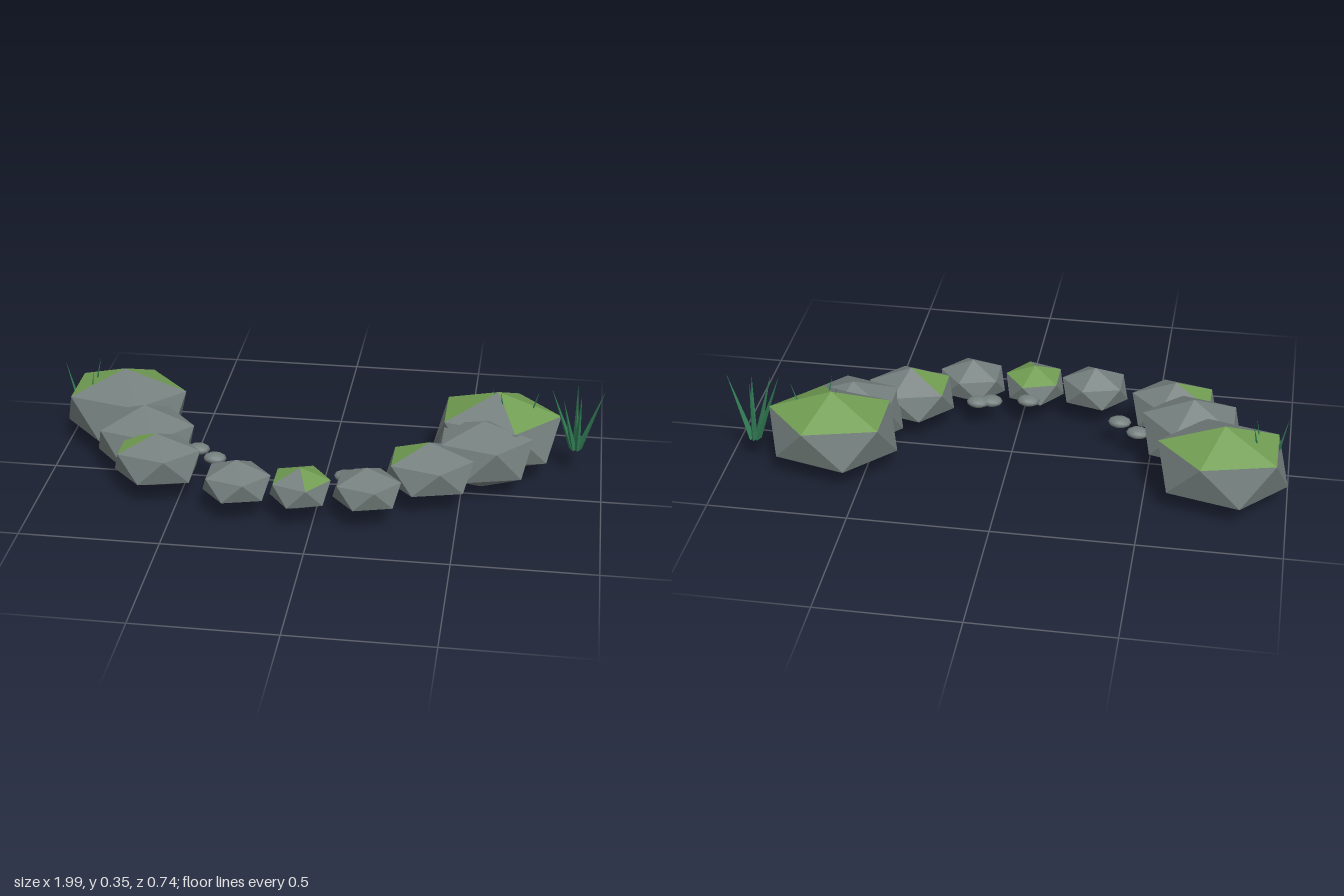
import * as THREE from 'three';

const mat = (name, color) => {
  const m = new THREE.MeshStandardMaterial({ color });
  m.name = name;
  return m;
};

// Ten-sided boulder: top point, two staggered rings of five, bottom point.
// moss lists which of the five cap faces are green.
function boulderGeometry({ x, z, rx, rz, bottom, low, high, top, moss = [] }) {
  const ring = (y, shift) => Array.from({ length: 5 }, (_, i) => {
    const a = (i + shift) * Math.PI * 0.4;
    return [x + rx * Math.cos(a), y, z - rz * Math.sin(a)];
  });
  const upper = ring(high, 0), lower = ring(low, 0.5);
  const tip = [x, top, z], base = [x, bottom, z];
  const stone = [], green = [];
  for (let i = 0; i < 5; i++) {
    const j = (i + 1) % 5;
    (moss.includes(i) ? green : stone).push(tip, upper[i], upper[j]);
    stone.push(upper[i], lower[i], upper[j]);
    stone.push(lower[i], lower[j], upper[j]);
    stone.push(base, lower[j], lower[i]);
  }
  const g = new THREE.BufferGeometry();
  g.setAttribute('position', new THREE.Float32BufferAttribute([...stone, ...green].flat(), 3));
  g.addGroup(0, stone.length, 0);
  if (green.length) g.addGroup(stone.length, green.length, 1);
  g.computeVertexNormals();
  return g;
}

// Thin tapering blade whose tip leans by (dx, dz)
function bladeGeometry(h, dx, dz, width) {
  const g = new THREE.ConeGeometry(width, h, 4, 1).toNonIndexed();
  g.scale(0.5, 1, 1);
  g.translate(0, h / 2, 0);
  const p = g.attributes.position;
  for (let i = 0; i < p.count; i++) {
    const t = p.getY(i) / h;
    p.setX(i, p.getX(i) + dx * t);
    p.setZ(i, p.getZ(i) + dz * t);
  }
  g.computeVertexNormals();
  return g;
}

export function createModel() {
  const model = new THREE.Group();
  model.name = 'rockArc';
  const stone = mat('stone grey', 0x747f7d);
  const moss = mat('moss green', 0x719d52);
  const grass = mat('grass green', 0x327d55);

  // Boulders from the right end round to the left end
  const boulders = [
    { x: -0.77, z: -0.205, rx: 0.228, rz: 0.175, bottom: 0.01, low: 0.095, high: 0.24, top: 0.32, moss: [0, 1, 2] },
    { x: -0.65, z: 0.01, rx: 0.18, rz: 0.148, bottom: 0.015, low: 0.093, high: 0.212, top: 0.283 },
    { x: -0.575, z: 0.165, rx: 0.157, rz: 0.117, bottom: 0.045, low: 0.1, high: 0.195, top: 0.252, moss: [2] },
    { x: -0.27, z: 0.27, rx: 0.122, rz: 0.098, bottom: 0.06, low: 0.1, high: 0.172, top: 0.224 },
    { x: -0.045, z: 0.272, rx: 0.108, rz: 0.102, bottom: 0.05, low: 0.1, high: 0.17, top: 0.212, moss: [0, 1, 2, 4] },
    { x: 0.187, z: 0.26, rx: 0.12, rz: 0.1, bottom: 0.06, low: 0.1, high: 0.172, top: 0.222 },
    { x: 0.39, z: 0.11, rx: 0.157, rz: 0.124, bottom: 0.042, low: 0.1, high: 0.192, top: 0.258, moss: [2] },
    { x: 0.57, z: -0.045, rx: 0.178, rz: 0.145, bottom: 0.01, low: 0.094, high: 0.213, top: 0.275 },
    { x: 0.612, z: -0.195, rx: 0.23, rz: 0.178, bottom: 0.003, low: 0.096, high: 0.237, top: 0.32, moss: [0, 1, 2, 4] },
  ];
  boulders.forEach((b, i) => {
    const mesh = new THREE.Mesh(boulderGeometry(b), [stone, moss]);
    mesh.name = `boulder${i + 1}`;
    model.add(mesh);
  });

  // Flattened pebbles along the inner edge
  const pebbleGeo = new THREE.IcosahedronGeometry(1, 1);
  [[-0.455, 0.015], [-0.383, 0.077], [-0.035, 0.17], [0.1, 0.147], [0.147, 0.132]].forEach(([x, z], i) => {
    const mesh = new THREE.Mesh(pebbleGeo, stone);
    mesh.name = `pebble${i + 1}`;
    mesh.position.set(x, 0.122, z);
    mesh.scale.set(0.042, 0.02, 0.032);
    model.add(mesh);
  });

  // Grass tufts: each blade is [base x, base z, lean x, lean z, height]
  const tuft = (name, x, z, width, blades) => {
    const group = new THREE.Group();
    group.name = name;
    group.position.set(x, 0.107, z);
    blades.forEach(([bx, bz, dx, dz, h]) => {
      const mesh = new THREE.Mesh(bladeGeometry(h, dx, dz, width), grass);
      mesh.name = 'grassBlade';
      mesh.position.set(bx, 0, bz);
      group.add(mesh);
    });
    model.add(group);
  };
  tuft('tallGrass', 0.9, -0.205, 0.024, [
    [-0.012, 0, -0.085, 0.03, 0.248],
    [-0.008, 0.005, -0.045, 0.065, 0.225],
    [0, -0.005, -0.005, -0.025, 0.248],
    [0.005, 0.005, 0.005, 0.045, 0.24],
    [0.012, 0, 0.082, 0.02, 0.248],
  ]);
  tuft('rightGrass', -0.92, -0.185, 0.02, [
    [-0.01, 0, -0.055, 0.015, 0.245],
    [0.01, -0.01, 0.045, -0.03, 0.245],
    [0.01, 0.01, 0.035, 0.025, 0.22],
  ]);
  tuft('leftGrass', 0.67, -0.18, 0.022, [
    [-0.01, 0, -0.04, 0.04, 0.248],
    [-0.01, 0, -0.07, -0.01, 0.23],
    [0.02, 0, 0.07, -0.01, 0.23],
  ]);
  return model;
}
